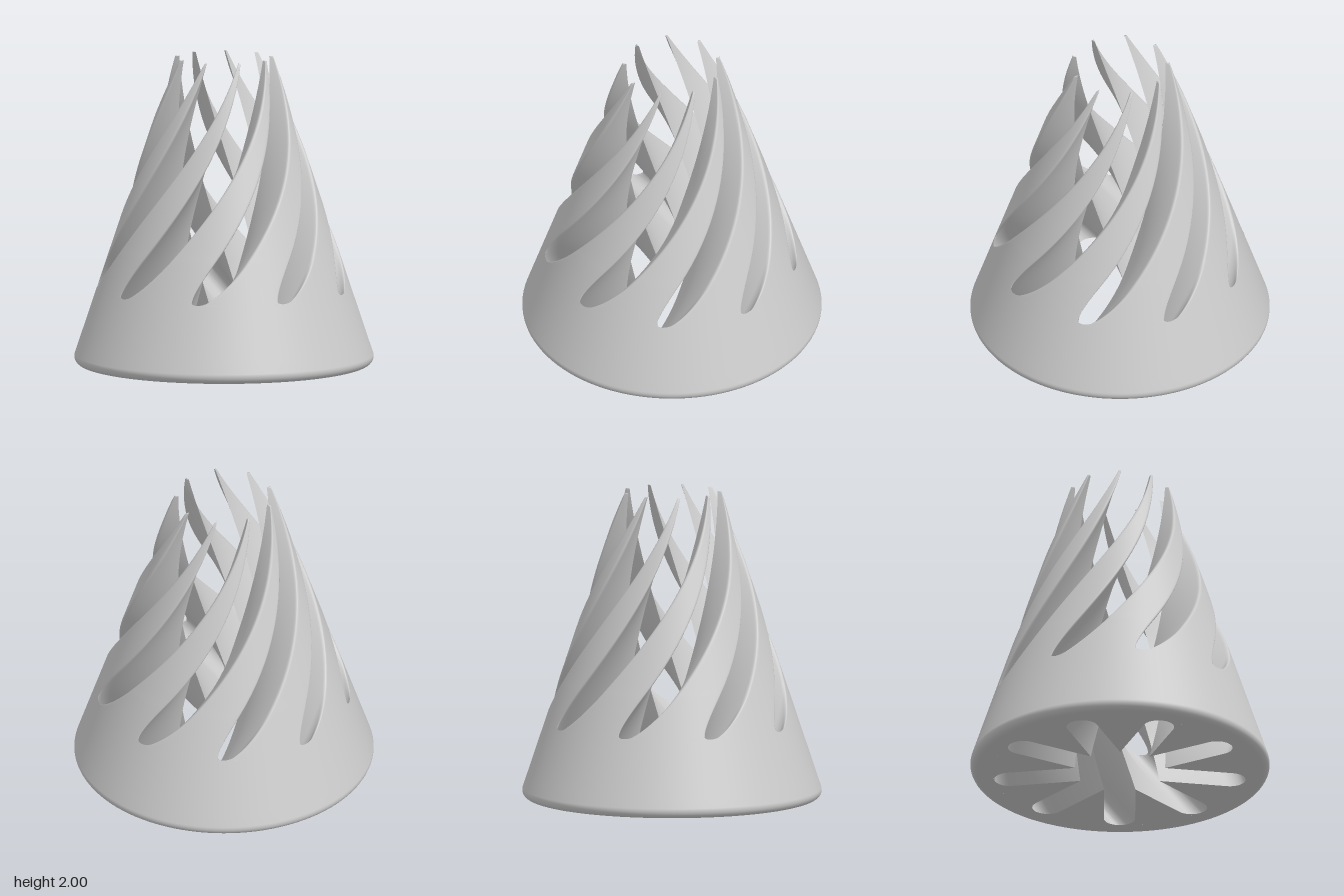
import * as THREE from 'three';

const RIBS = 9, PITCH = (2 * Math.PI) / RIBS, HEIGHT = 2;
const SLOT_HALF = 0.101, SLOT_C = 0.722;            // slot half width, centre of its round end
const SLOPE = 1 / 3, R0 = 0.987, R_TOP = R0 - SLOPE * HEIGHT;
const TWIST = THREE.MathUtils.degToRad(60);         // twist per unit of height
const slotAngle = y => THREE.MathUtils.degToRad(18) + TWIST * (y - HEIGHT);
const coneY = r => (r <= R_TOP ? HEIGHT : (R0 - r) / SLOPE);

// Smooth surface through rows of points, facing along (row step) x (column step)
function grid(rows) {
  const cols = rows[0].length, index = [];
  for (let i = 0; i < rows.length - 1; i++) {
    for (let j = 0; j < cols - 1; j++) {
      const a = i * cols + j, b = a + cols;
      index.push(a, b, a + 1, b, b + 1, a + 1);
    }
  }
  const geo = new THREE.BufferGeometry();
  geo.setAttribute('position', new THREE.Float32BufferAttribute(rows.flat(2), 3));
  geo.setIndex(index);
  geo.computeVertexNormals();
  return geo;
}

// Point at radius r, angle measured from the slot centre, twisted by height
function twisted(r, angle, y) {
  const t = angle + slotAngle(y);
  return [r * Math.sin(t), y, r * Math.cos(t)];
}

// Half outline of one slot: straight side, then round end, as radius + half angle
function slotProfile() {
  const pts = [], start = SLOT_HALF / Math.tan(PITCH / 2);
  const add = (a, b) => pts.push({ r: Math.hypot(a, b), alpha: Math.atan2(b, a) });
  for (let i = 0; i <= 26; i++) add(start + (SLOT_C - start) * (i / 26) ** 1.3, SLOT_HALF);
  for (let i = 1; i <= 14; i++) {
    const t = (Math.PI / 2) * (1 - i / 14);
    add(SLOT_C + SLOT_HALF * Math.cos(t), SLOT_HALF * Math.sin(t));
  }
  return pts;
}

// One section of a rib at constant radius: up one wall, over the skin, down the other
function ribRow({ r, alpha }) {
  const top = coneY(r), half = PITCH / 2 - alpha;
  const e = Math.min(0.02, 0.45 * half * r, 0.6 * alpha * r);
  const drop = Math.min(3 * e, 0.3 * top), da = e / r;
  const side = [];
  for (let i = 0; i < 36; i++) side.push([alpha, ((top - drop) * i) / 36]);
  for (let i = 0; i <= 4; i++) {                     // rounded outer edge
    const t = i / 4;
    side.push([alpha + da * t * t, top - drop * (1 - t) ** 2]);
  }
  const skin = [];
  for (let i = 1; i < 12; i++) skin.push([alpha + da + (2 * (half - da) * i) / 12, top]);
  const other = side.map(([a, y]) => [PITCH - a, y]).reverse();
  return [...side, ...skin, ...other].map(([a, y]) => twisted(r, a, y));
}

// Flat underside of a rib
function undersideRow({ r, alpha }) {
  const row = [];
  for (let i = 0; i <= 12; i++) row.push(twisted(r, PITCH - alpha - ((PITCH - 2 * alpha) * i) / 12, 0));
  return row;
}

// Solid skirt below the slots: flat rim, rounded foot, conical wall
function skirtGeometry(seamR) {
  const f = 0.05, lean = Math.atan(SLOPE);
  const cr = R0 - SLOPE * f - f / Math.cos(lean);
  const pts = [new THREE.Vector2(seamR, 0), new THREE.Vector2(cr - 0.005, 0)];
  for (let i = 0; i <= 10; i++) {
    const t = -Math.PI / 2 + ((Math.PI / 2 + lean) * i) / 10;
    pts.push(new THREE.Vector2(cr + f * Math.cos(t), f + f * Math.sin(t)));
  }
  const yTop = coneY(seamR), y0 = pts[pts.length - 1].y;
  for (let i = 1; i <= 6; i++) {
    const y = y0 + ((yTop - y0) * i) / 6;
    pts.push(new THREE.Vector2(R0 - SLOPE * y, y));
  }
  return new THREE.LatheGeometry(pts, RIBS * 12, slotAngle(yTop));
}

export function createModel() {
  const model = new THREE.Group();
  model.name = 'twistedCone';
  const material = new THREE.MeshStandardMaterial({ color: 0xcccccc });
  const profile = slotProfile();
  const ribGeo = grid(profile.map(ribRow));
  const undersideGeo = grid(profile.map(undersideRow));

  // Spiral ribs around the axis
  for (let k = 0; k < RIBS; k++) {
    const rib = new THREE.Group();
    rib.name = `spiralRib${k + 1}`;
    const body = new THREE.Mesh(ribGeo, material);
    body.name = 'ribBody';
    const underside = new THREE.Mesh(undersideGeo, material);
    underside.name = 'ribUnderside';
    rib.add(body, underside);
    rib.rotation.y = k * PITCH;
    model.add(rib);
  }

  const skirt = new THREE.Mesh(skirtGeometry(profile[profile.length - 1].r), material);
  skirt.name = 'baseSkirt';
  model.add(skirt);
  return model;
}
